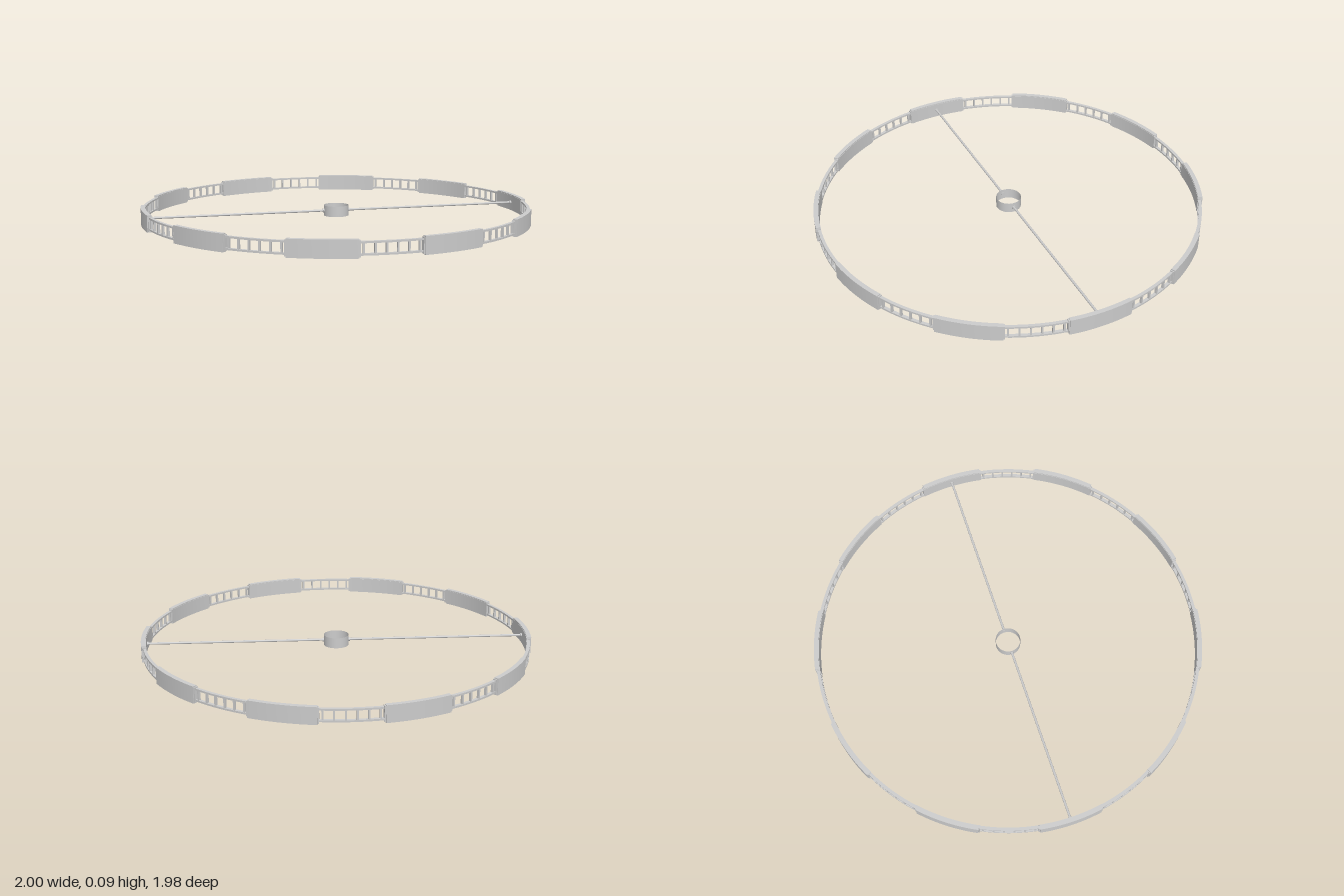
import * as THREE from 'three';
import { toCreasedNormals } from 'three/addons/utils/BufferGeometryUtils.js';

const RAD = Math.PI / 180;
const mat = new THREE.MeshStandardMaterial({ color: 0xcccccc });
const thinMat = new THREE.MeshStandardMaterial({ color: 0xcccccc, side: THREE.DoubleSide });

// Curved block: radii r0..r1, centred on angle 0 with half-angle (degrees), heights y0..y1
function arcBlock(r0, r1, half, y0, y1, segments) {
  const a = half * RAD;
  const shape = new THREE.Shape();
  shape.absarc(0, 0, r1, -a, a, false);
  shape.absarc(0, 0, r0, a, -a, true);
  const g = new THREE.ExtrudeGeometry(shape, { depth: y1 - y0, bevelEnabled: false, curveSegments: segments });
  g.rotateX(-Math.PI / 2);
  g.translate(0, y0, 0);
  return toCreasedNormals(g, 0.5);
}

// Full hoop with a rectangular section
function hoop(r0, r1, y0, y1) {
  const pts = [[r0, y0], [r1, y0], [r1, y1], [r0, y1], [r0, y0]].map(p => new THREE.Vector2(...p));
  return toCreasedNormals(new THREE.LatheGeometry(pts, 160), 0.5);
}

function add(parent, name, geometry, material = mat) {
  const m = new THREE.Mesh(geometry, material);
  m.name = name;
  parent.add(m);
  return m;
}

export function createModel() {
  const model = new THREE.Group();
  model.name = 'ringStation';

  // Two continuous rails
  add(model, 'lowerRail', hoop(0.976, 0.992, 0.011, 0.02));
  add(model, 'upperRail', hoop(0.976, 0.992, 0.066, 0.075));

  // Ten curved modules with ladder sections between them
  const panel = arcBlock(0.977, 1.0, 9.25, 0, 0.085, 16);
  const collar = arcBlock(0.975, 0.996, 9.65, 0.005, 0.08, 16);
  const rung = new THREE.BoxGeometry(0.012, 0.048, 0.009);
  for (let i = 0; i < 10; i++) {
    const sector = new THREE.Group();
    sector.name = 'sector';
    sector.rotation.y = i * 36 * RAD;
    add(sector, 'module', panel);
    add(sector, 'moduleCollar', collar);
    for (let k = 0; k < 6; k++) {
      const a = (18 + (k - 2.5) * 3) * RAD;
      const r = add(sector, 'rung', rung);
      r.position.set(0.984 * Math.cos(a), 0.043, -0.984 * Math.sin(a));
      r.rotation.y = a;
    }
    model.add(sector);
  }

  // Open hub, a thin sleeve
  add(model, 'hub', new THREE.CylinderGeometry(0.064, 0.064, 0.054, 32, 1, true), thinMat).position.y = 0.043;

  // Two spokes with small sockets at both ends
  for (const side of [1, -1]) {
    const spoke = add(model, 'spoke', new THREE.CylinderGeometry(0.006, 0.006, 0.916, 12));
    spoke.rotation.z = Math.PI / 2;
    spoke.position.set(side * 0.521, 0.043, 0);
    for (const x of [0.066, 0.972]) {
      const socket = add(model, 'spokeSocket', new THREE.CylinderGeometry(0.01, 0.01, 0.01, 12));
      socket.rotation.z = Math.PI / 2;
      socket.position.set(side * x, 0.043, 0);
    }
  }
  return model;
}
